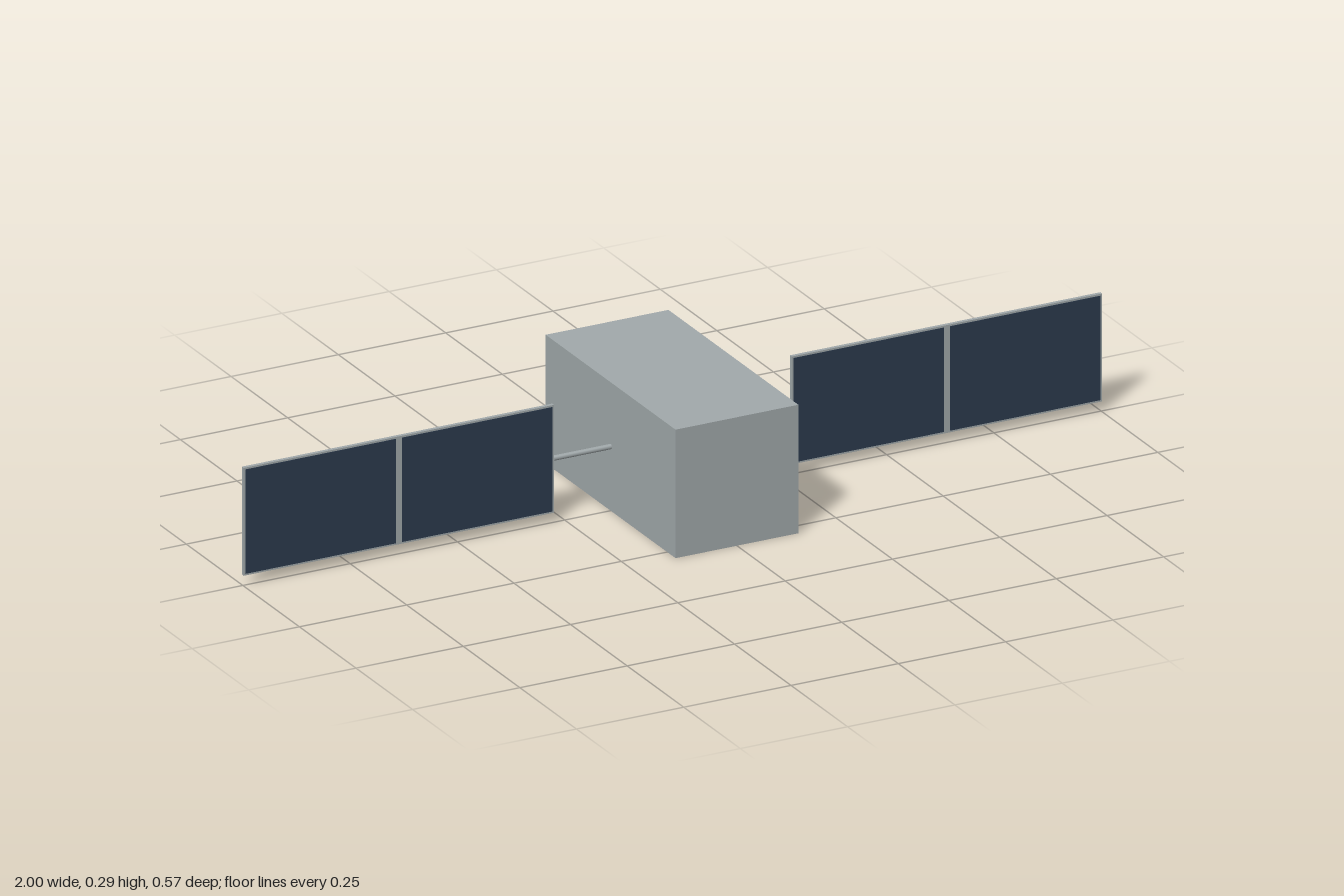
import * as THREE from 'three';

export function createModel() {
  const model = new THREE.Group();
  model.name = 'satellite';

  const hull = new THREE.MeshStandardMaterial({ color: 0xa3abad });
  hull.name = 'hull grey';
  const solar = new THREE.MeshStandardMaterial({ color: 0x2c3b4f });
  solar.name = 'solar blue';

  const midY = 0.1435;
  const add = (parent, name, geometry, material, x, y, z) => {
    const mesh = new THREE.Mesh(geometry, material);
    mesh.name = name;
    mesh.position.set(x, y, z);
    parent.add(mesh);
    return mesh;
  };

  // Main body
  add(model, 'body', new THREE.BoxGeometry(0.286, 0.287, 0.574), hull, 0, midY, 0);

  // Solar wings, one on each side
  const inner = 0.277, outer = 1, height = 0.241, thick = 0.008;
  const length = outer - inner, centre = (inner + outer) / 2;
  const margin = 0.004, divider = 0.014;
  const cellLength = (length - divider) / 2 - margin;

  for (const side of [1, -1]) {
    const wing = new THREE.Group();
    wing.name = side > 0 ? 'leftWing' : 'rightWing';
    wing.position.y = midY;
    model.add(wing);

    // Round boom from the body to the panel
    const boom = new THREE.CylinderGeometry(0.006, 0.006, inner - 0.13, 8).rotateZ(Math.PI / 2);
    add(wing, 'boom', boom, hull, side * (inner + 0.13) / 2, 0, 0);

    // Backing panel
    add(wing, 'panel', new THREE.BoxGeometry(length, height, thick), hull, side * centre, 0, 0);

    // Two cell plates on the front, with the divider showing between them
    for (const half of [-1, 1]) {
      const x = side * centre + half * (divider + cellLength) / 2;
      const plate = new THREE.BoxGeometry(cellLength, height - 2 * margin, 0.001);
      add(wing, 'solarCells', plate, solar, x, 0, thick / 2 + 0.0005);
    }
  }
  return model;
}
